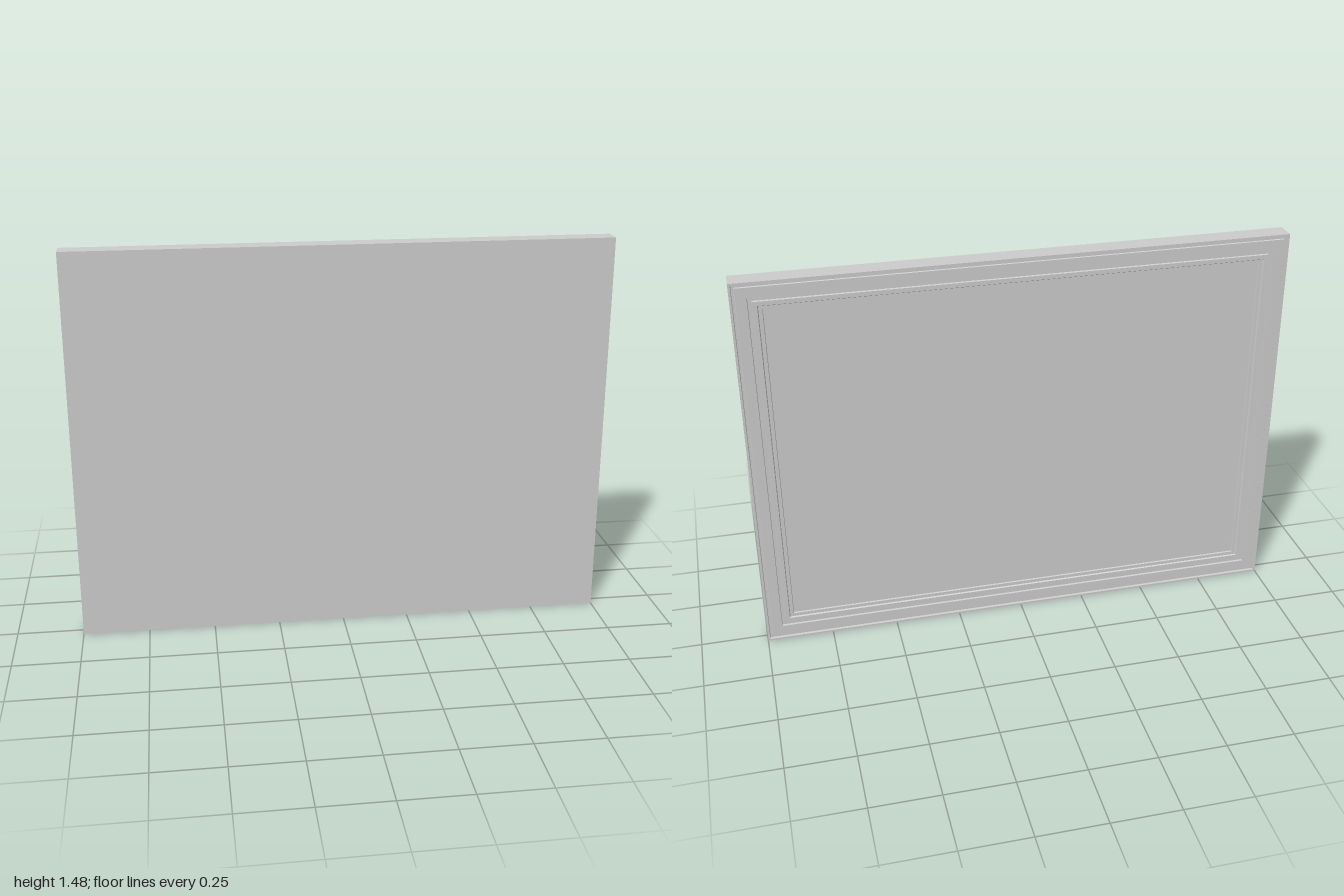
import * as THREE from 'three';

const W = 2, H = 1.475, D = 0.075;

// Moulding cross-section: [inset from outer edge, recess from the moulded face]
const PROFILE = [
  [0, D], [0, 0], [0.008, 0], [0.01, 0.008], [0.018, 0.008], [0.02, 0.004],
  [0.058, 0.004], [0.06, 0.011], [0.072, 0.011], [0.074, 0.005], [0.09, 0.005],
  [0.093, 0.01], [0.106, 0.01], [0.108, 0.015], [0.12, 0.015],
];

// Sweeps the profile round a rectangle with mitred corners
function mitredFrame(profile) {
  const corners = [[1, 1], [-1, 1], [-1, -1], [1, -1]];
  const point = ([inset, recess], i) => {
    const [sx, sy] = corners[i % 4];
    return [sx * (W / 2 - inset), H / 2 + sy * (H / 2 - inset), -D / 2 + recess];
  };
  const pos = [];
  for (let k = 0; k < profile.length - 1; k++) {
    for (let i = 0; i < 4; i++) {
      const A = point(profile[k], i), B = point(profile[k], i + 1);
      const a = point(profile[k + 1], i), b = point(profile[k + 1], i + 1);
      pos.push(...A, ...a, ...b, ...A, ...b, ...B);
    }
  }
  const geo = new THREE.BufferGeometry();
  geo.setAttribute('position', new THREE.Float32BufferAttribute(pos, 3));
  geo.computeVertexNormals();
  return geo;
}

export function createModel() {
  const group = new THREE.Group();
  group.name = 'pictureFrame';
  const material = new THREE.MeshStandardMaterial({ color: 0xcccccc });
  const add = (name, geo) => {
    const mesh = new THREE.Mesh(geo, material);
    mesh.name = name;
    group.add(mesh);
    return mesh;
  };

  // Stepped moulding and outer sides
  add('frameMoulding', mitredFrame(PROFILE));

  // Flat board closing the plain side
  add('backingBoard', new THREE.PlaneGeometry(W, H)).position.set(0, H / 2, D / 2);

  // Recessed picture surface inside the moulding
  const [inset, recess] = PROFILE[PROFILE.length - 1];
  const picture = add('picturePanel', new THREE.PlaneGeometry(W - 2 * inset, H - 2 * inset));
  picture.position.set(0, H / 2, -D / 2 + recess);
  picture.rotation.y = Math.PI;

  return group;
}
